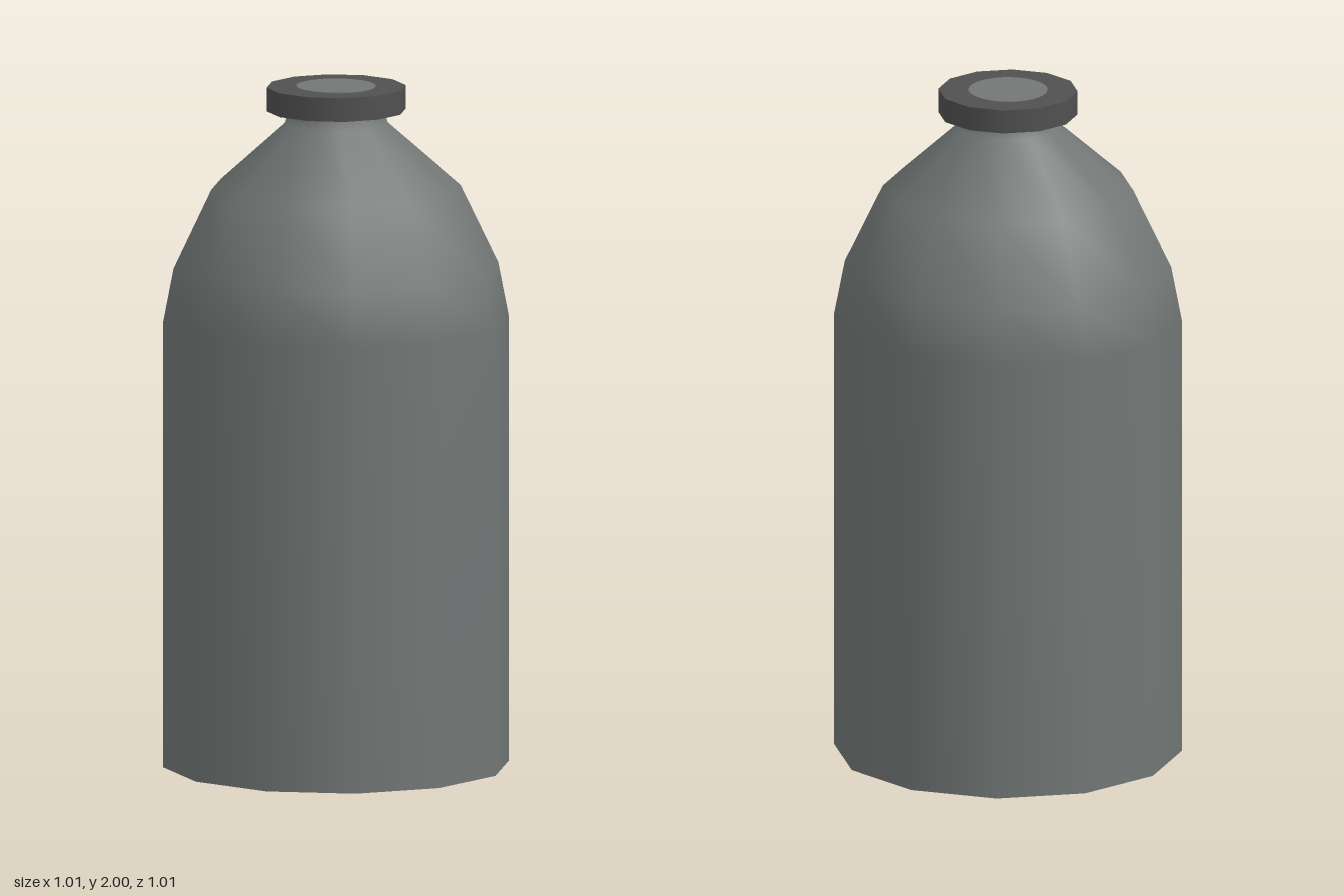
import * as THREE from 'three';

const SIDES = 12;

export function createModel() {
  const group = new THREE.Group();
  const bodyGrey = new THREE.MeshStandardMaterial({ name: 'bodyGrey', color: 0x727776 });
  const capGrey = new THREE.MeshStandardMaterial({ name: 'capGrey', color: 0x505050 });

  const add = (name, geometry, material, y = 0) => {
    const mesh = new THREE.Mesh(geometry, material);
    mesh.name = name;
    mesh.position.y = y;
    group.add(mesh);
    return mesh;
  };

  // Smooth bottle wall, shoulder and neck
  const profile = [
    [0.506, 0], [0.506, 1.31], [0.475, 1.47], [0.365, 1.7], [0.15, 1.89], [0.14, 1.93],
  ].map(([r, y]) => new THREE.Vector2(r, y));
  add('bottleBody', new THREE.LatheGeometry(profile, SIDES), bodyGrey);

  // Flat base
  add('bottleBase', new THREE.CircleGeometry(0.506, SIDES).rotateX(Math.PI / 2), bodyGrey);

  // Cap with a light round centre
  add('cap', new THREE.CylinderGeometry(0.203, 0.203, 0.07, SIDES), capGrey, 1.963);
  add('capCentre', new THREE.CylinderGeometry(0.115, 0.115, 0.004, 32), bodyGrey, 1.998)
    .scale.z = 1.05;

  return group;
}
